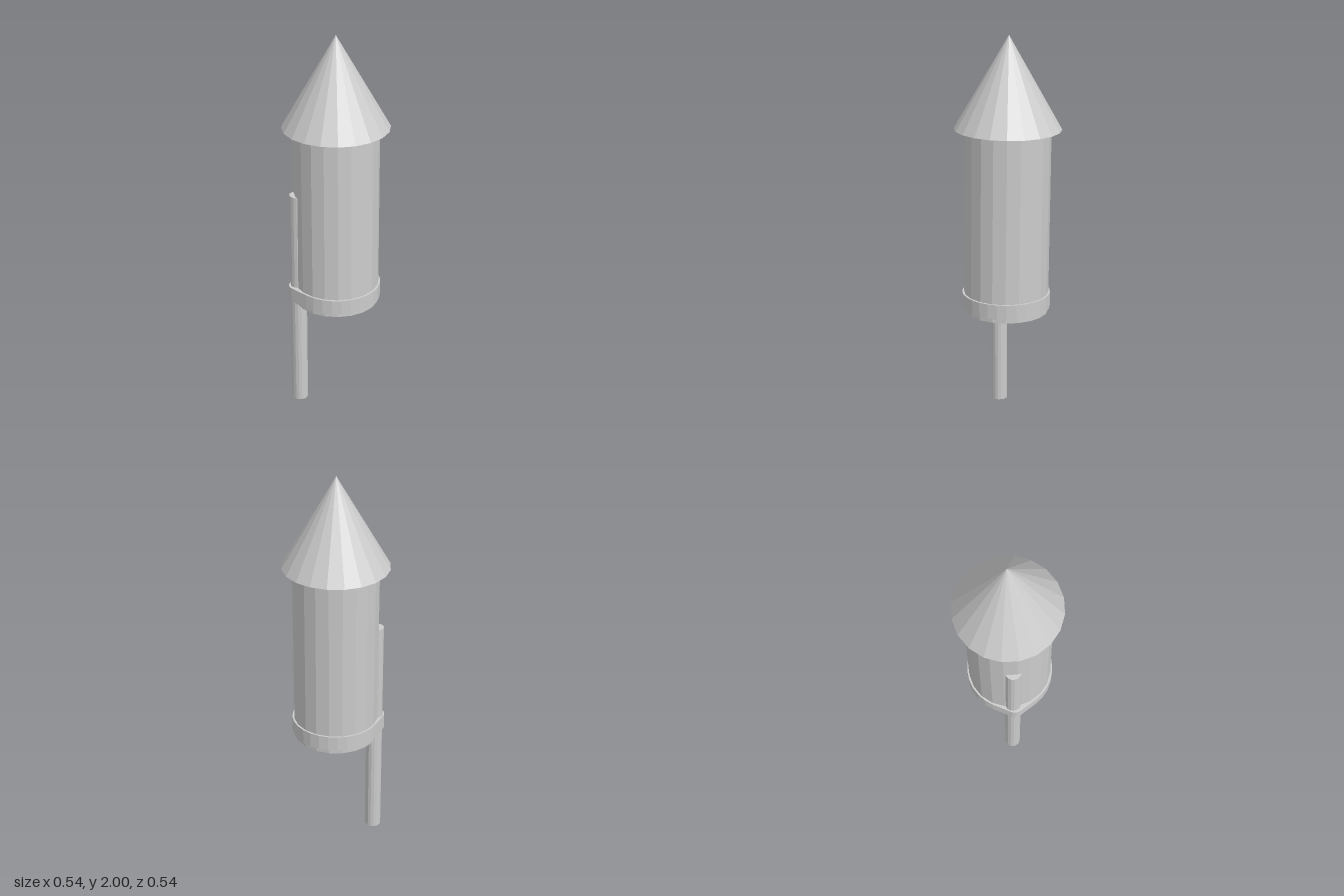
import * as THREE from 'three';

const SIDES = 20;
const TWIST = 0.065;

export function createModel() {
  const model = new THREE.Group();
  model.name = 'fireworkRocket';
  const material = new THREE.MeshStandardMaterial({ color: 0xcccccc, flatShading: true });

  const add = (parent, name, geometry, x, y, z) => {
    const mesh = new THREE.Mesh(geometry, material);
    mesh.name = name;
    mesh.position.set(x, y, z);
    parent.add(mesh);
    return mesh;
  };

  // Tube and nose lean very slightly backwards, pivoting at the cone's base
  const rocket = new THREE.Group();
  rocket.name = 'rocket';
  rocket.position.y = 1.533;
  rocket.rotation.x = -0.011;
  model.add(rocket);

  add(rocket, 'noseCone', new THREE.ConeGeometry(0.27, 0.467, SIDES), 0, 0.2335, 0).rotation.y = TWIST;
  add(rocket, 'body', new THREE.CylinderGeometry(0.217, 0.217, 0.95, SIDES), 0, -0.475, 0).rotation.y = TWIST;

  // Guide stick, half sunk into the side of the body
  add(model, 'stick', new THREE.CylinderGeometry(0.042, 0.042, 1.19, 16), -0.2, 0.595, 0);

  // Band wrapped tightly around body and stick: two arcs joined by tangents
  const R = 0.226, r = 0.053, d = 0.2;
  const a = Math.acos((R - r) / d);
  const outline = new THREE.Shape();
  outline.absarc(0, 0, R, -Math.PI + a, Math.PI - a, false);
  outline.absarc(-d, 0, r, Math.PI - a, Math.PI + a, false);
  outline.closePath();
  const hole = new THREE.Path();
  hole.absarc(0, 0, 0.209, 0, Math.PI * 2, true);
  outline.holes.push(hole);
  const bandGeometry = new THREE.ExtrudeGeometry(outline, { depth: 0.077, bevelEnabled: false, curveSegments: 12 });
  bandGeometry.rotateX(-Math.PI / 2);
  add(model, 'band', bandGeometry, 0, 0.605, 0.01);

  return model;
}
